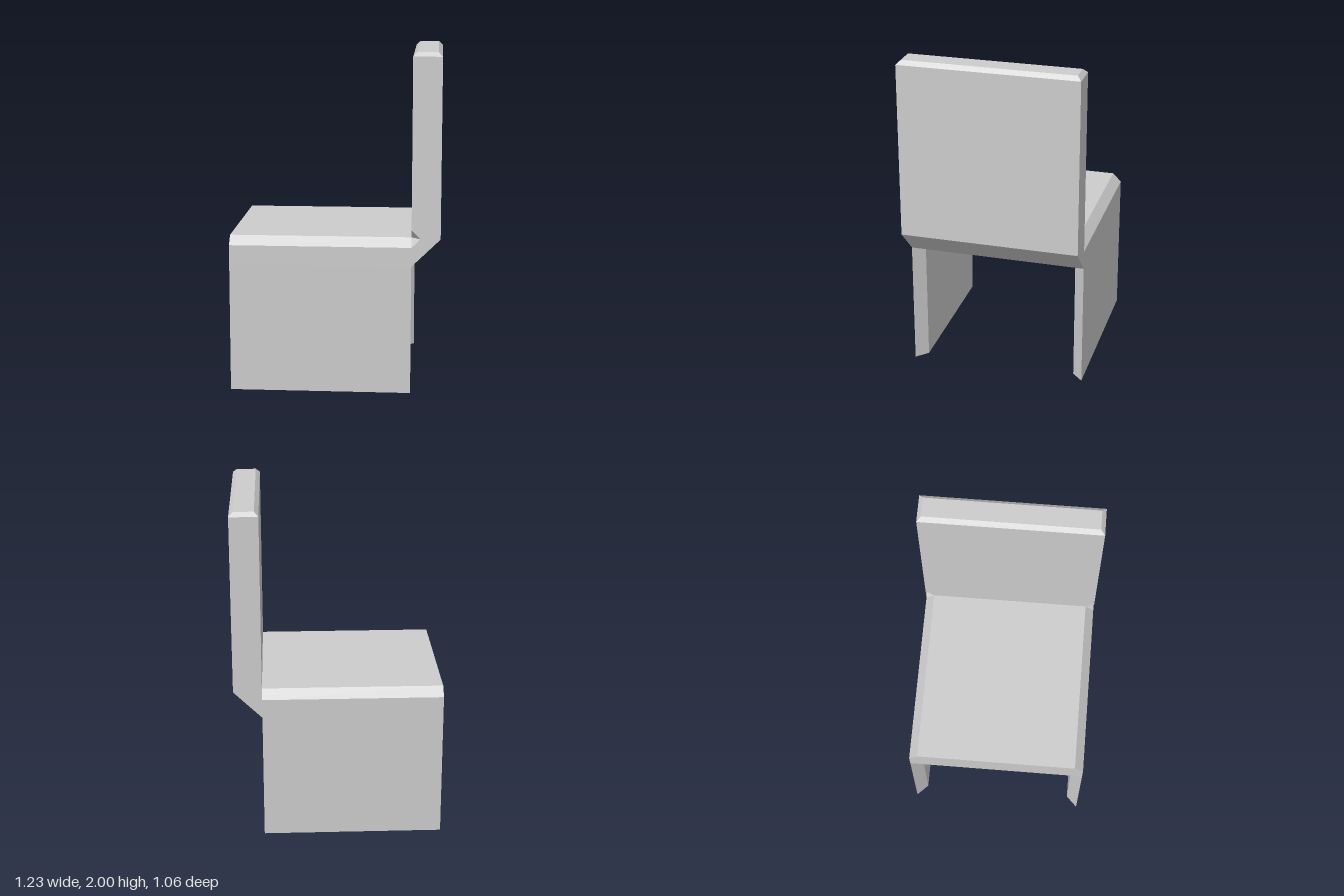
import * as THREE from 'three';

const L = -0.616, B = 0.448, R = 0.616; // seat end, backrest front, backrest rear
const W = 0.532, WI = 0.48;             // half width, half width inside the chamfer
const UNDER = 0.762, SEAT = 0.926, C = 0.052; // seat underside, seat top, chamfer
const SHOULDER = 1.976, TOP = 2, K = 0.025;   // backrest top chamfer

// Flat-shaded geometry from convex (fan-safe) polygons
function fromFaces(faces) {
  const pos = [];
  for (const f of faces)
    for (let i = 1; i < f.length - 1; i++) pos.push(...f[0], ...f[i], ...f[i + 1]);
  const g = new THREE.BufferGeometry();
  g.setAttribute('position', new THREE.Float32BufferAttribute(pos, 3));
  g.computeVertexNormals();
  return g;
}

const mirrorZ = (f) => f.map(([x, y, z]) => [x, y, -z]).reverse();

function extrude(points, depth) {
  const shape = new THREE.Shape(points.map(([x, y]) => new THREE.Vector2(x, y)));
  return new THREE.ExtrudeGeometry(shape, { depth, bevelEnabled: false });
}

export function createModel() {
  const model = new THREE.Group();
  model.name = 'chair';
  const grey = new THREE.MeshStandardMaterial({ color: 0xcccccc });
  grey.name = 'light grey';
  const add = (name, geometry) => {
    const mesh = new THREE.Mesh(geometry, grey);
    mesh.name = name;
    model.add(mesh);
  };

  // Seat slab with chamfered long edges
  const seat = extrude([
    [-W, UNDER], [W, UNDER], [W, SEAT - C], [WI, SEAT], [-WI, SEAT], [-W, SEAT - C],
  ], B - L);
  seat.rotateY(Math.PI / 2).translate(L, 0, 0);
  add('seat', seat);

  // Side panels with mitred ends
  const t = 0.066;
  for (const s of [1, -1]) {
    const panel = extrude([
      [L, -s * W], [B, -s * W], [B - t, -s * (W - t)], [L + t, -s * (W - t)],
    ], UNDER);
    panel.rotateX(-Math.PI / 2);
    add(s > 0 ? 'frontSidePanel' : 'rearSidePanel', panel);
  }

  // Backrest: sides with a small notch where it meets the seat
  const upper = [B, SEAT + C, W], tip = [B + C, SEAT, W];
  const lower = [B, SEAT - C, W], inner = [B, SEAT, WI];
  const sides = [
    [[R, SEAT, W], [R, SHOULDER, W], [B, SHOULDER, W], upper, tip, lower, [B, UNDER, W]],
    [upper, inner, tip],
    [lower, tip, inner],
    [[B, SHOULDER, W], [R, SHOULDER, W], [R - K, TOP, W - K], [B + K, TOP, W - K]],
  ];
  // A strip across the width between two edge points, facing +x
  const strip = ([x0, y0, z0], [x1, y1, z1]) =>
    [[x0, y0, z0], [x0, y0, -z0], [x1, y1, -z1], [x1, y1, z1]];
  add('backrest', fromFaces([
    ...sides, ...sides.map(mirrorZ),
    strip([B, UNDER, W], [R, SEAT, W]),
    strip([R, SEAT, W], [R, SHOULDER, W]),
    strip([R, SHOULDER, W], [R - K, TOP, W - K]),
    strip([R - K, TOP, W - K], [B + K, TOP, W - K]),
    strip([B + K, TOP, W - K], [B, SHOULDER, W]),
    strip([B, SHOULDER, W], upper),
    strip(upper, inner),
  ]));
  return model;
}
